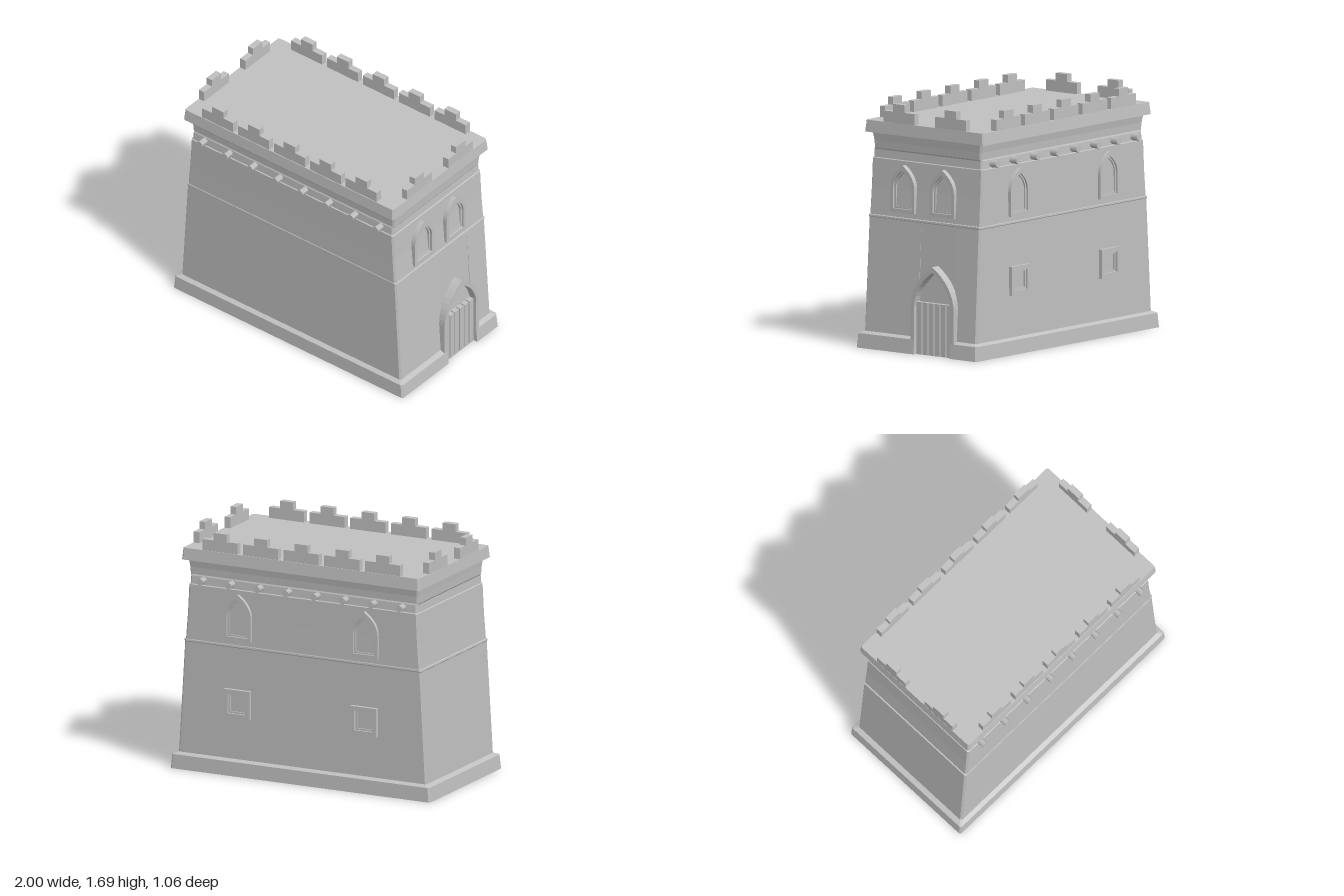
import * as THREE from 'three';

const stone = new THREE.MeshStandardMaterial({ color: 0xc0c0c0, side: THREE.DoubleSide });
stone.name = 'stone';

const DOOR_Z = -0.1325, DOOR_HALF = 0.157;

function add(parent, geometry, name, x = 0, y = 0, z = 0) {
  const mesh = new THREE.Mesh(geometry, stone);
  mesh.name = name;
  mesh.position.set(x, y, z);
  parent.add(mesh);
  return mesh;
}

// Horizontal outline: chamfered rectangle with a notch for the doorway
function ring([y, hx, hz]) {
  const c = 0.012, nx = Math.min(hx, 0.945);
  const z0 = DOOR_Z + DOOR_HALF, z1 = DOOR_Z - DOOR_HALF;
  return [
    [hx, hz - c], [hx, z0], [nx, z0], [nx, z1], [hx, z1], [hx, -hz + c],
    [hx - c, -hz], [-hx + c, -hz], [-hx, -hz + c],
    [-hx, hz - c], [-hx + c, hz], [hx - c, hz],
  ].map(([x, z]) => [x, y, z]);
}

// Tapered hollow shell, open below and closed by the roof deck
function shell(levels) {
  const rings = levels.map(ring), pos = [];
  for (let i = 0; i < rings.length - 1; i++) {
    const lo = rings[i], hi = rings[i + 1];
    for (let j = 0; j < lo.length; j++) {
      const k = (j + 1) % lo.length;
      pos.push(...lo[j], ...lo[k], ...hi[k], ...lo[j], ...hi[k], ...hi[j]);
    }
  }
  const top = rings.at(-1), y = levels.at(-1)[0];
  top.forEach((p, j) => pos.push(0, y, 0, ...p, ...top[(j + 1) % top.length]));
  const g = new THREE.BufferGeometry();
  g.setAttribute('position', new THREE.Float32BufferAttribute(pos, 3));
  g.computeVertexNormals();
  return g;
}

// Pointed arch from its right foot over the apex to its left foot
function archPoints(half, bottom, spring, apex) {
  const ctrl = spring + (apex - spring) * 0.58;
  const curve = new THREE.QuadraticBezierCurve(
    new THREE.Vector2(half, spring), new THREE.Vector2(half * 0.97, ctrl), new THREE.Vector2(0, apex));
  const right = [new THREE.Vector2(half, bottom), ...curve.getPoints(8)];
  const left = right.slice(0, -1).reverse().map(p => new THREE.Vector2(-p.x, p.y));
  return [...right, ...left];
}

function squarePoints(half, y) {
  return [[half, y - half], [half, y + half], [-half, y + half], [-half, y - half]]
    .map(p => new THREE.Vector2(...p));
}

function frame(outer, inner, from, to) {
  const shape = new THREE.Shape(outer);
  shape.holes.push(new THREE.Path(inner));
  const g = new THREE.ExtrudeGeometry(shape, { depth: to - from, bevelEnabled: false });
  return g.translate(0, 0, from);
}

// Stepped window surround: raised frame and a lower inner ledge
function windowGroup(name, outlines, from, ledge, front) {
  const group = new THREE.Group();
  group.name = name;
  add(group, frame(outlines[0], outlines[1], from, front), 'windowFrame');
  add(group, frame(outlines[1], outlines[2], from, ledge), 'windowLedge');
  return group;
}

function merlon(alongX, x, z) {
  const group = new THREE.Group();
  group.name = 'merlon';
  add(group, new THREE.BoxGeometry(0.27, 0.082, 0.045), 'merlonBase', 0, 1.596, 0);
  add(group, new THREE.BoxGeometry(0.1, 0.055, 0.045), 'merlonTop', 0, 1.6625, 0);
  group.position.set(x, 0, z);
  if (!alongX) group.rotation.y = Math.PI / 2;
  return group;
}

export function createModel() {
  const model = new THREE.Group();
  model.name = 'gatehouse';

  // Plinth, battered walls, string courses, cornice and deck: [y, half x, half z]
  add(model, shell([
    [0, 1.0, 0.525], [0.1, 0.99, 0.52], [0.115, 0.955, 0.49],
    [0.895, 0.91, 0.486], [0.9, 0.914, 0.489], [0.912, 0.913, 0.488], [0.915, 0.904, 0.485],
    [1.1, 0.89, 0.483], [1.3, 0.88, 0.482], [1.305, 0.874, 0.475],
    [1.36, 0.871, 0.471], [1.37, 0.877, 0.466], [1.42, 0.88, 0.469], [1.472, 0.885, 0.478],
    [1.478, 0.915, 0.522], [1.56, 0.908, 0.513],
  ]), 'walls');

  // Battlements
  for (const s of [-1, 1]) {
    for (let i = -2; i <= 2; i++) model.add(merlon(true, i * 0.3125, s * 0.485));
    for (const z of [-0.225, 0.225]) model.add(merlon(false, s * 0.884, z));
  }

  // Hexagonal beam ends on the front and back
  for (const s of [-1, 1]) {
    for (let i = 0; i < 8; i++) {
      const beam = new THREE.CylinderGeometry(0.026, 0.026, 0.09, 6);
      beam.rotateX(Math.PI / 2);
      add(model, beam, 'beamEnd', -0.765 + i * 0.219, 1.336, s * 0.486);
    }
  }

  // Arched windows on the right end and the back
  const arches = [
    archPoints(0.105, 0.95, 1.12, 1.275),
    archPoints(0.08, 0.975, 1.12, 1.24),
    archPoints(0.068, 0.985, 1.12, 1.225),
  ];
  for (const z of [0.185, -0.16]) {
    const w = windowGroup('endWindow', arches, 0.86, 0.904, 0.92);
    w.rotation.y = Math.PI / 2;
    w.position.z = z;
    model.add(w);
  }
  // Square windows below the arched ones on the back
  const squares = [0.1, 0.068, 0.056].map(h => squarePoints(h, 0.505));
  for (const x of [-0.48, 0.495]) {
    const upper = windowGroup('backArchedWindow', arches, 0.46, 0.493, 0.506);
    const lower = windowGroup('backSquareWindow', squares, 0.47, 0.499, 0.514);
    for (const w of [upper, lower]) {
      w.rotation.y = Math.PI;
      w.position.x = x;
      model.add(w);
    }
  }

  // Doorway: pointed surround and upright planks
  const door = new THREE.Group();
  door.name = 'door';
  const surround = new THREE.Shape([
    ...archPoints(0.187, 0.09, 0.33, 0.615),
    ...archPoints(DOOR_HALF, 0.09, 0.33, 0.575).reverse(),
  ]);
  add(door, new THREE.ExtrudeGeometry(surround, { depth: 0.07, bevelEnabled: false }), 'doorSurround', 0, 0, 0.92);
  for (let i = 0; i < 6; i++) {
    add(door, new THREE.BoxGeometry(0.044, 0.36, 0.035), 'doorPlank', (i - 2.5) * 0.0525, 0.18, 0.9525);
  }
  door.rotation.y = Math.PI / 2;
  door.position.z = DOOR_Z;
  model.add(door);

  return model;
}
